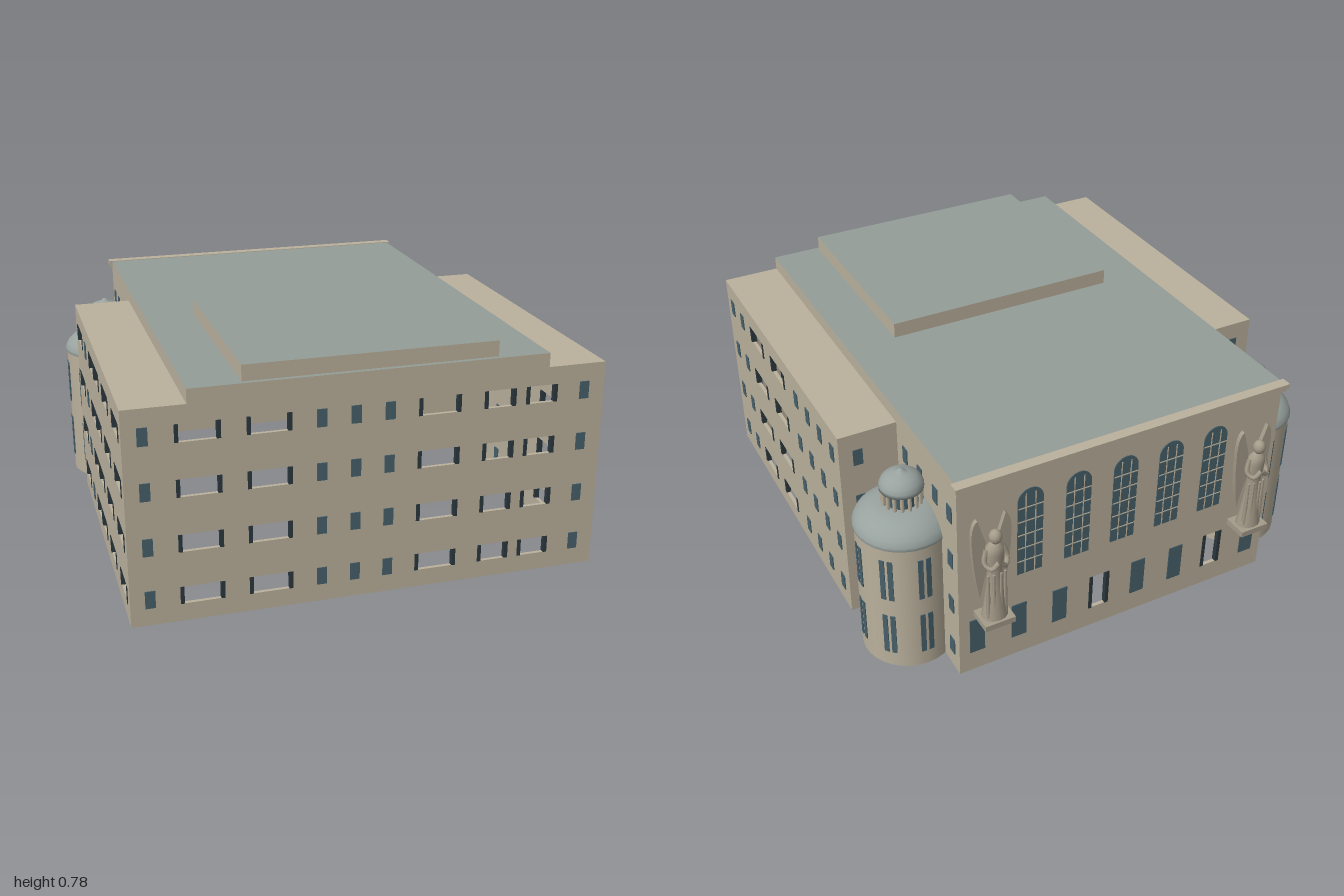
import * as THREE from 'three';

const mat = (name, color, side = THREE.FrontSide) => {
  const m = new THREE.MeshStandardMaterial({ color, side });
  m.name = name;
  return m;
};
const stone = mat('stone', 0xbab09c);
const stoneOpen = mat('stone shell', 0xbab09c, THREE.DoubleSide);
const roofGrey = mat('roof grey', 0x949d98);
const domeGrey = mat('dome grey', 0x98a29e, THREE.DoubleSide);
const glass = mat('window glass', 0x47606a);
const frame = mat('window frame', 0x2c383d);
const carved = mat('carved stone', 0xa59c8a);

const T = 0.012;                          // wall thickness
const PITCH = 0.105;                      // window spacing
const ROWS = [0.085, 0.255, 0.43, 0.6];   // window centre heights
const WALL_H = 0.685, HALF = 0.746, CORE = 0.557;
const FRONT = 0.707, WING_BACK = -0.375, BACK = -0.785;

function add(parent, name, geo, material, x = 0, y = 0, z = 0) {
  const m = new THREE.Mesh(geo, material);
  m.name = name;
  m.position.set(x, y, z);
  parent.add(m);
  return m;
}
const box = (w, h, d) => new THREE.BoxGeometry(w, h, d);
const col = k => 0.06 + PITCH * k;

function rectPath(x, y, w, h) {
  const p = new THREE.Path();
  p.moveTo(x, y); p.lineTo(x, y + h); p.lineTo(x + w, y + h); p.lineTo(x + w, y);
  p.closePath();
  return p;
}

// Wall with its outer face at local z = 0, holes given as [x, y, w, h]
function wall(parent, name, width, place, angle, holes, panes) {
  const g = new THREE.Group();
  g.name = name;
  g.position.set(...place);
  g.rotation.y = angle;
  parent.add(g);
  const s = new THREE.Shape();
  s.moveTo(0, 0); s.lineTo(width, 0); s.lineTo(width, WALL_H); s.lineTo(0, WALL_H);
  s.closePath();
  for (const h of holes) s.holes.push(rectPath(...h));
  const geo = new THREE.ExtrudeGeometry(s, { depth: T, bevelEnabled: false });
  add(g, name + ' masonry', geo.translate(0, 0, -T), stone);
  for (const [x, y, w, h] of panes)
    add(g, 'window pane', box(w, h, T + 0.006), glass, x, y, -T / 2);
  for (const [x, y, w, h] of holes)        // dark jambs beside each opening
    for (const jx of [x + 0.005, x + w - 0.005])
      add(g, 'window jamb', box(0.012, h, T + 0.004), frame, jx, y + h / 2, -T / 2);
  return g;
}

// Four storeys: glazed columns plus open bays running between two columns
function storeys(glazed, open) {
  const panes = [], holes = [];
  for (const y of ROWS) {
    for (const k of glazed) panes.push([col(k), y, 0.031, 0.056]);
    for (const [a, b] of open)
      holes.push([col(a) - 0.014, y - 0.028, col(b) - col(a) + 0.028, 0.056]);
  }
  return [holes, panes];
}

function archShape(w, h) {
  const s = new THREE.Shape(), r = w / 2;
  s.moveTo(-r, 0); s.lineTo(r, 0); s.lineTo(r, h - r);
  s.absarc(0, h - r, r, 0, Math.PI, false);
  s.closePath();
  return s;
}

function archedWindow(parent, x, y) {
  const g = new THREE.Group();
  g.name = 'arched window';
  g.position.set(x, y, 0);
  parent.add(g);
  const geo = new THREE.ExtrudeGeometry(archShape(0.084, 0.315),
    { depth: T + 0.006, bevelEnabled: false, curveSegments: 10 });
  add(g, 'arched glass', geo, glass, 0, 0, -T - 0.003);
  for (const bx of [-0.016, 0.016])
    add(g, 'upright glazing bar', box(0.003, 0.3, 0.002), stone, bx, 0.15, 0.004);
  for (let i = 1; i <= 5; i++)
    add(g, 'cross glazing bar', box(0.082, 0.003, 0.002), stone, 0, i * 0.05, 0.004);
}

// Round corner tower with shoulder dome and lantern
function tower(parent, x, z) {
  const g = new THREE.Group();
  g.name = 'tower';
  g.position.set(x, 0, z);
  parent.add(g);
  const lathe = pts => new THREE.LatheGeometry(pts.map(p => new THREE.Vector2(...p)), 32);
  add(g, 'tower shaft', new THREE.CylinderGeometry(0.148, 0.148, 0.47, 32, 1, true), stoneOpen, 0, 0.235);
  add(g, 'shoulder dome', lathe([[0.148, 0.462], [0.152, 0.464], [0.152, 0.476], [0.143, 0.495],
    [0.125, 0.513], [0.1, 0.528], [0.07, 0.537], [0, 0.54]]), domeGrey);
  add(g, 'lantern core', new THREE.CylinderGeometry(0.05, 0.05, 0.06, 24), glass, 0, 0.565);
  add(g, 'lantern cap', lathe([[0, 0.588], [0.067, 0.588], [0.067, 0.602], [0.06, 0.618], [0.045, 0.632],
    [0.025, 0.64], [0.012, 0.643], [0.008, 0.65], [0, 0.652]]), domeGrey);
  for (let i = 0; i < 16; i++) {
    const a = i * Math.PI / 8;
    add(g, 'lantern column', new THREE.CylinderGeometry(0.006, 0.006, 0.055, 6), stone,
      Math.sin(a) * 0.058, 0.563, Math.cos(a) * 0.058);
  }
  for (let i = 0; i < 8; i++)
    for (const da of [-0.085, 0.085])
      for (const y of [0.13, 0.345]) {
        const a = i * Math.PI / 4 + da;
        const m = add(g, 'slit window', box(0.016, 0.15, 0.006), glass,
          Math.sin(a) * 0.147, y, Math.cos(a) * 0.147);
        m.rotation.y = a;
      }
}

// Winged figure facing local +z, standing on a bracket
function statue(parent, x, y, z) {
  const g = new THREE.Group();
  g.name = 'winged statue';
  g.position.set(x, y, z);
  g.rotation.y = Math.PI;
  parent.add(g);
  add(g, 'bracket', box(0.1, 0.02, 0.08), carved, 0, 0.01, 0);
  const robe = [[0.042, 0.02], [0.036, 0.06], [0.027, 0.13], [0.023, 0.19], [0.026, 0.22],
    [0.03, 0.26], [0.027, 0.285], [0.01, 0.3], [0, 0.302]].map(p => new THREE.Vector2(...p));
  add(g, 'robe', new THREE.LatheGeometry(robe, 12), carved).scale.z = 0.8;
  add(g, 'head', new THREE.SphereGeometry(0.02, 12, 10), carved, 0, 0.322, 0.006).scale.y = 1.2;
  const wing = new THREE.Shape();
  wing.moveTo(0.008, 0.25);
  wing.quadraticCurveTo(0.025, 0.31, 0.045, 0.375);
  wing.quadraticCurveTo(0.068, 0.36, 0.063, 0.28);
  wing.quadraticCurveTo(0.058, 0.17, 0.038, 0.08);
  wing.quadraticCurveTo(0.025, 0.16, 0.008, 0.2);
  for (const s of [-1, 1]) {
    const half = new THREE.Group();
    half.name = 'wing and arm';
    half.scale.x = s;
    g.add(half);
    const geo = new THREE.ExtrudeGeometry(wing, { depth: 0.014, bevelEnabled: false, curveSegments: 6 });
    add(half, 'wing', geo, carved, 0, 0, -0.032);
    const arm = new THREE.CatmullRomCurve3([[0.027, 0.28, 0], [0.036, 0.235, 0.008],
      [0.022, 0.222, 0.026], [0.002, 0.245, 0.032]].map(p => new THREE.Vector3(...p)));
    add(half, 'arm', new THREE.TubeGeometry(arm, 10, 0.008, 6), carved);
    for (const fx of [0.012, 0.028])       // robe folds
      add(half, 'robe fold', new THREE.CylinderGeometry(0.004, 0.008, 0.17, 6), carved, fx, 0.105, 0.022 - fx * 0.3);
  }
}

export function createModel() {
  const root = new THREE.Group();
  root.name = 'building';
  const b = new THREE.Group();
  b.name = 'rotated building';
  b.rotation.y = 0.508;
  b.position.set(-0.021, 0, 0.012);
  root.add(b);
  const Q = Math.PI / 2, sideLen = FRONT - WING_BACK, rearLen = WING_BACK - BACK;

  // Outer walls
  wall(b, 'front wall', HALF * 2, [-HALF, 0, FRONT], 0,
    ...storeys([0, 5, 6, 7, 13], [[1, 2], [3, 4], [8, 9], [10, 10.7], [11.3, 12]]));
  wall(b, 'right wing wall', sideLen, [HALF, 0, FRONT], Q,
    ...storeys([0, 1, 6.2, 7.2, 8.2, 9.2], [[2, 3], [4, 5]]));
  wall(b, 'left wing wall', sideLen, [-HALF, 0, WING_BACK], -Q,
    ...storeys([2], [[0, 1], [3, 3.9], [4.2, 5.1], [6.1, 7.1], [8.2, 9.2]]));
  const wingW = HALF - CORE;
  wall(b, 'right wing rear wall', wingW, [HALF, 0, WING_BACK], Math.PI, ...storeys([0], []));
  wall(b, 'left wing rear wall', wingW, [-CORE, 0, WING_BACK], Math.PI, ...storeys([0.6], []));
  wall(b, 'right rear side wall', rearLen, [CORE, 0, WING_BACK], Q, ...storeys([0, 1, 2, 2.9], []));
  wall(b, 'left rear side wall', rearLen, [-CORE, 0, BACK], -Q, ...storeys([0, 0.9, 1.9, 2.9], []));

  // Hall facade at the back: ground-floor openings below arched windows
  const panes = [], holes = [];
  for (let i = 0; i < 8; i++) {
    const x = 0.06 + i * 0.142;
    if (i === 3 || i === 6) holes.push([x - 0.035, 0.075, 0.07, 0.13]);
    else panes.push([x, 0.14, 0.05, 0.13]);
  }
  const hall = wall(b, 'hall facade', CORE * 2, [CORE, 0, BACK], Math.PI, holes, panes);
  for (let i = -2; i <= 2; i++) archedWindow(hall, CORE + i * 0.161, 0.325);

  // Roofs
  const capped = [stone, stone, roofGrey, stone, stone, stone];
  add(b, 'main roof', box(CORE * 2, 0.045, FRONT - BACK), capped, 0, 0.7075, (FRONT + BACK) / 2);
  add(b, 'raised roof', box(0.79, 0.05, 0.69), capped, 0, 0.755, 0.347);
  for (const s of [-1, 1])
    add(b, 'wing roof', box(wingW, 0.012, sideLen), stone, s * (CORE + HALF) / 2, 0.679, (FRONT + WING_BACK) / 2);
  add(b, 'cornice', box(1.136, 0.016, 0.034), stone, 0, 0.724, -0.79);
  add(b, 'cornice moulding', box(1.126, 0.012, 0.026), stone, 0, 0.71, -0.788);

  // Towers and statues
  for (const s of [-1, 1]) {
    tower(b, s * 0.621, -0.548);
    statue(b, s * 0.459, 0.225, -0.826);
  }
  return root;
}
